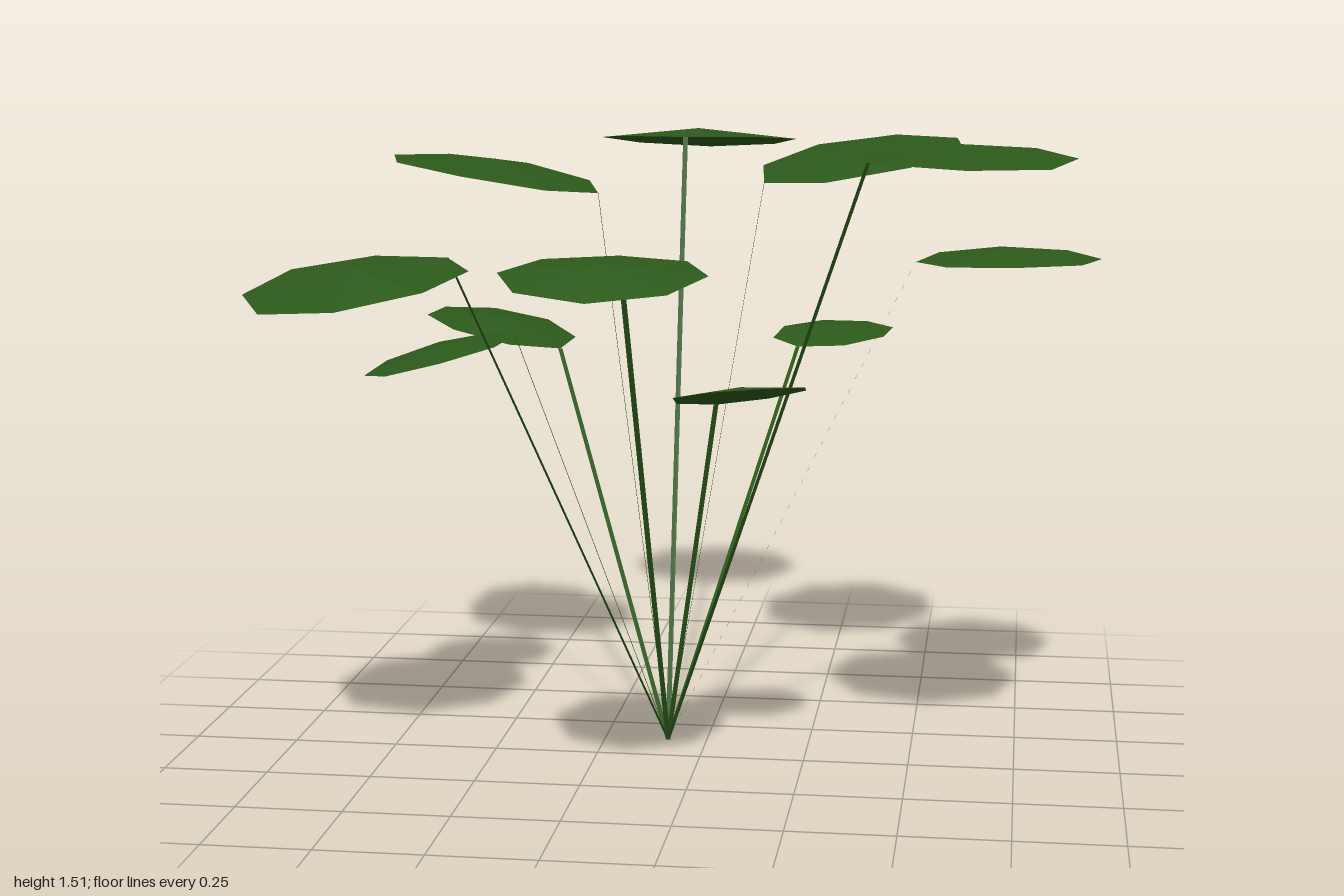
import * as THREE from 'three';

const SIDES = 8;
const root = new THREE.Vector3(-0.095, 0, -0.125);

// Each leaf: apex, radius, direction (dx, dz) from apex to stalk corner, tilt (rise per unit x and z)
const leaves = [
  { apex: [-0.10, 1.455, -0.75], r: 0.255, to: [0, 1], tilt: [0, 0.12] },
  { apex: [0.26, 0.955, -0.685], r: 0.157, to: [-0.08, 0.135], tilt: [0.05, -0.08] },
  { apex: [-0.60, 0.97, -0.62], r: 0.193, to: [0.17, 0.09], tilt: [-0.2, -0.05] },
  { apex: [-0.63, 0.985, -0.035], r: 0.18, to: [0.17, -0.04], tilt: [0.25, -0.05] },
  { apex: [-0.51, 1.42, -0.14], r: 0.255, to: [0.25, 0.03], tilt: [-0.16, 0] },
  { apex: [-0.70, 1.225, 0.455], r: 0.25, to: [0.15, -0.175], tilt: [0.1, -0.13] },
  { apex: [-0.10, 1.285, 0.775], r: 0.217, to: [0, -1], tilt: [0, -0.1] },
  { apex: [0.13, 0.96, 0.32], r: 0.157, to: [-0.07, -0.14], tilt: [0.12, 0.25] },
  { apex: [0.605, 1.51, 0.465], r: 0.25, to: [-0.185, -0.155], tilt: [0, -0.02] },
  { apex: [0.71, 1.225, -0.145], r: 0.217, to: [-0.21, 0.02], tilt: [0.02, 0] },
  { apex: [0.355, 1.45, -0.285], r: 0.255, to: [-0.225, 0.125], tilt: [0.14, -0.12] },
];

// Flat-shaded open surface from a list of triangles
function surface(points, indices) {
  const g = new THREE.BufferGeometry().setFromPoints(points);
  g.setIndex(indices);
  const flat = g.toNonIndexed();
  flat.computeVertexNormals();
  return flat;
}

// Shallow eight-sided canopy, with corner 0 at the stalk
function leafPoints({ apex, r, to, tilt }) {
  const start = Math.atan2(to[1], to[0]);
  const points = [new THREE.Vector3(...apex)];
  for (let i = 0; i < SIDES; i++) {
    const t = (i / SIDES) * Math.PI * 2;
    const dx = r * Math.cos(start + t);
    const dz = r * Math.sin(start + t);
    const drop = r * (0.14 - 0.04 * Math.sin(t) ** 2); // side corners hang a little less
    points.push(new THREE.Vector3(apex[0] + dx, apex[1] - drop + tilt[0] * dx + tilt[1] * dz, apex[2] + dz));
  }
  return points;
}

export function createModel() {
  const model = new THREE.Group();
  model.name = 'leafyPlant';
  const green = new THREE.MeshStandardMaterial({ color: 0x2d5a1b, flatShading: true, side: THREE.DoubleSide });

  const fan = [];
  for (let i = 0; i < SIDES; i++) fan.push(0, 1 + ((i + 1) % SIDES), 1 + i);

  leaves.forEach((spec, i) => {
    const points = leafPoints(spec);
    const leaf = new THREE.Mesh(surface(points, fan), green);
    leaf.name = `leaf${i + 1}`;

    // Flat ribbon stalk from the shared root to the leaf's inner corner
    const tip = points[1];
    const across = new THREE.Vector3(tip.z - root.z, 0, root.x - tip.x).setLength(0.006);
    const corners = [
      root.clone().sub(across), root.clone().add(across),
      tip.clone().add(across), tip.clone().sub(across),
    ];
    const stalk = new THREE.Mesh(surface(corners, [0, 1, 2, 0, 2, 3]), green);
    stalk.name = `stalk${i + 1}`;
    model.add(leaf, stalk);
  });
  return model;
}
